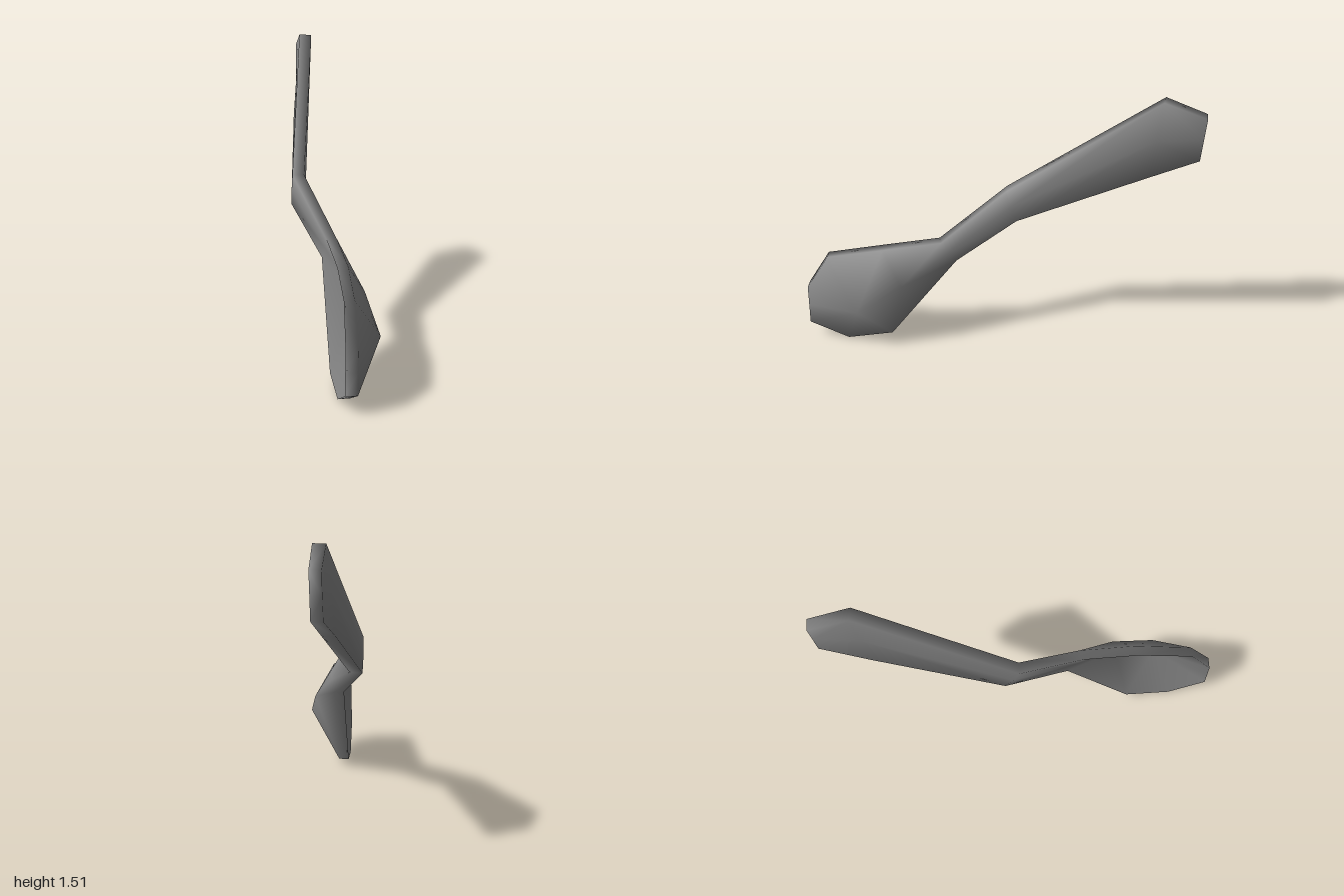
import * as THREE from 'three';

// Closed smooth skin through rings of six points: outer top, centre, bottom, inner bottom, centre, top
function skin(rings, material, name) {
  const points = rings.flat().map(p => new THREE.Vector3(...p));
  const index = [];
  // Split each quad so the outside bulges and the hollow side follows it
  const quad = (a, b, c, d, bulge) => {
    const [pa, pb, pc, pd] = [a, b, c, d].map(k => points[k].clone());
    const normal = pb.sub(pa).cross(pc.sub(pa));
    if (normal.dot(pd.sub(pa)) * bulge > 0) index.push(a, b, d, a, d, c);
    else index.push(a, b, c, b, d, c);
  };
  for (let i = 0; i < rings.length - 1; i++) {
    for (let j = 0; j < 6; j++) {
      const a = i * 6 + j, b = i * 6 + (j + 1) % 6;
      quad(a, b, a + 6, b + 6, j === 3 || j === 4 ? -1 : 1);
    }
  }
  // End faces
  const last = (rings.length - 1) * 6;
  for (let j = 0; j < 2; j++) {
    quad(5 - j, 4 - j, j, j + 1, 1);
    quad(last + j, last + j + 1, last + 5 - j, last + 4 - j, 1);
  }
  const g = new THREE.BufferGeometry().setFromPoints(points);
  g.setIndex(index);
  g.computeVertexNormals();
  const mesh = new THREE.Mesh(g, material);
  mesh.name = name;
  return mesh;
}

export function createModel() {
  const metal = new THREE.MeshStandardMaterial({ color: 0x888888 });
  metal.name = 'grey metal';

  // Cross-sections from bowl tip to handle end: top edge, centre line, bottom edge.
  // Each point: [inner x, outer x, y, inner z, outer z]
  const stations = [
    [[-0.343, -0.287, 0.33, 0.98, 1.0], [-0.344, -0.287, 0.215, 0.98, 1.0], [-0.345, -0.287, 0.10, 0.98, 1.0]],
    [[-0.30, -0.25, 0.53, 0.87, 0.885], [-0.107, -0.052, 0.28, 0.75, 0.77], [-0.29, -0.23, 0.0, 0.785, 0.80]],
    [[-0.20, -0.145, 0.595, 0.59, 0.60], [-0.077, -0.02, 0.43, 0.522, 0.53], [-0.22, -0.168, 0.035, 0.55, 0.565]],
    [[-0.12, -0.065, 0.645, 0.295, 0.30], [-0.11, -0.05, 0.59, 0.255, 0.26], [-0.11, -0.055, 0.53, 0.215, 0.22]],
    [[-0.143, -0.085, 0.90, -0.08, -0.06], [-0.135, -0.068, 0.81, -0.11, -0.08], [-0.12, -0.06, 0.725, -0.15, -0.11]],
    [[0.22, 0.28, 1.515, -0.80, -0.77], [0.193, 0.258, 1.29, -0.78, -0.75], [0.165, 0.228, 1.068, -0.76, -0.73]],
    [[0.287, 0.343, 1.43, -1.0, -0.98], [0.282, 0.337, 1.31, -0.99, -0.97], [0.275, 0.331, 1.19, -0.98, -0.96]],
  ];
  const inner = ([x, , y, z]) => [x, y, z];
  const outer = ([, x, y, , z]) => [x, y, z];

  const group = new THREE.Group();
  group.name = 'spoon';

  // Hollow bowl, neck and handle as one skin with a softly shaded rim
  const rings = stations.map(s => [...s.map(outer), ...s.map(inner).reverse()]);
  group.add(skin(rings, metal, 'bowlAndHandle'));
  return group;
}
